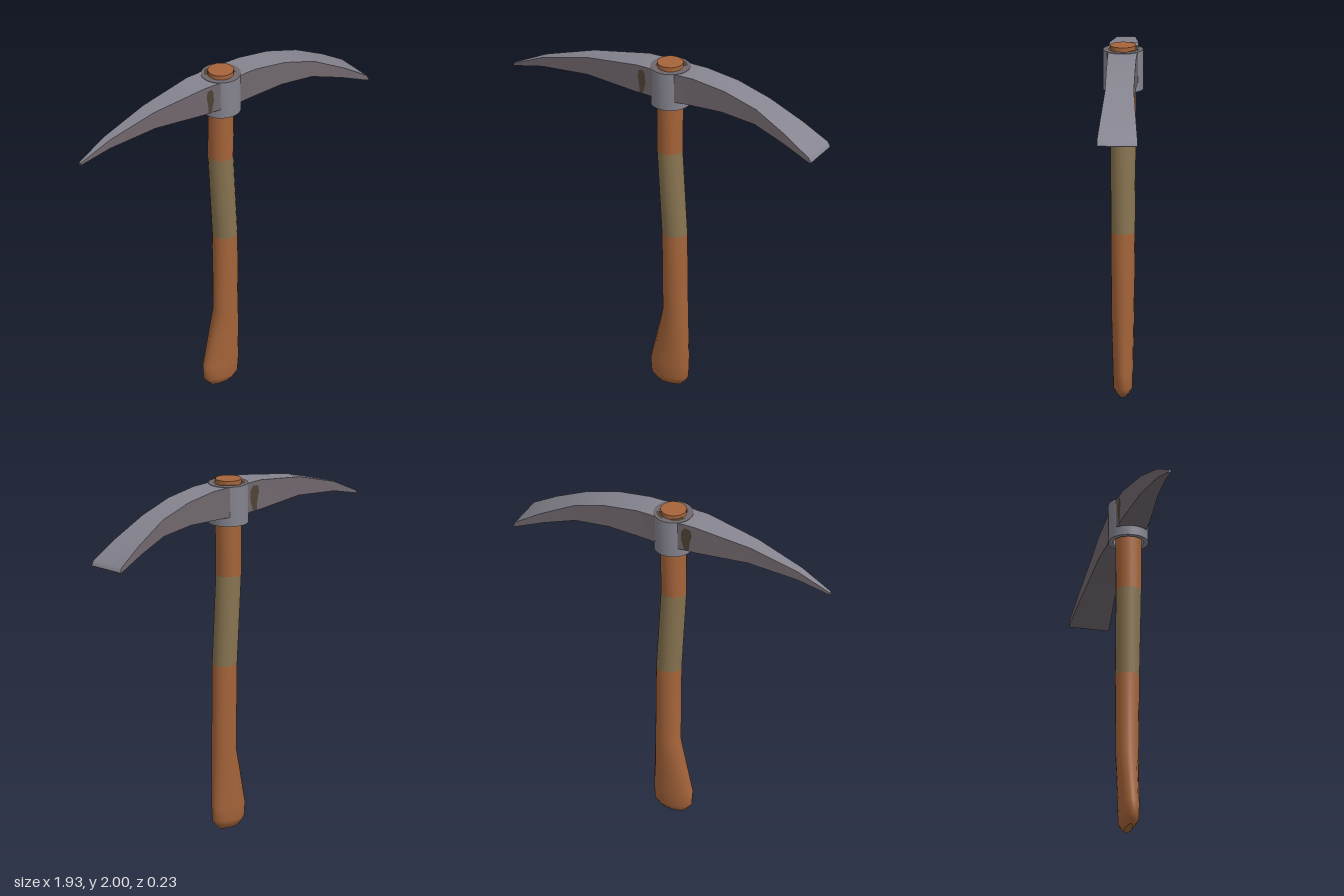
import * as THREE from 'three';
import { toCreasedNormals } from 'three/addons/utils/BufferGeometryUtils.js';

const paint = (name, color, side = THREE.FrontSide) => {
  const m = new THREE.MeshStandardMaterial({ color, side });
  m.name = name;
  return m;
};

function geometry(positions, indices) {
  const g = new THREE.BufferGeometry();
  g.setAttribute('position', new THREE.Float32BufferAttribute(positions.flat(), 3));
  g.setIndex(indices);
  g.computeVertexNormals();
  return g;
}

// Surface between two matching edges
function strip(a, b) {
  const pos = [], idx = [];
  a.forEach((p, i) => {
    pos.push(p, b[i]);
    if (i) {
      const k = 2 * i - 2;
      idx.push(k, k + 2, k + 1, k + 2, k + 3, k + 1);
    }
  });
  return geometry(pos, idx);
}

// Elliptical tube through sections [y, xLeft, xRight, halfDepth]
function loft(sections, sides = 20) {
  const pos = [], idx = [];
  sections.forEach(([y, x0, x1, rz], j) => {
    for (let i = 0; i < sides; i++) {
      const t = (i / sides) * Math.PI * 2;
      pos.push([(x0 + x1) / 2 + ((x1 - x0) / 2) * Math.sin(t), y, rz * Math.cos(t)]);
      if (j) {
        const n = (i + 1) % sides, lo = (j - 1) * sides, hi = j * sides;
        idx.push(lo + i, lo + n, hi + i, lo + n, hi + n, hi + i);
      }
    }
  });
  return geometry(pos, idx);
}

// Flat elliptical end of the handle
function endCap([y, x0, x1, rz], up) {
  const g = new THREE.CircleGeometry(1, 20);
  g.rotateX(up ? -Math.PI / 2 : Math.PI / 2);
  g.scale((x1 - x0) / 2, 1, rz);
  g.translate((x0 + x1) / 2, y, 0);
  return g;
}

export function createModel() {
  const model = new THREE.Group();
  const wood = paint('wood', 0xa5643a);
  const wrapCloth = paint('wrap', 0x877350);
  const steel = paint('steel', 0x85848f, THREE.DoubleSide);
  const darkSteel = paint('dark steel', 0x70676d, THREE.DoubleSide);
  const rust = paint('rust', 0x4e4336, THREE.DoubleSide);
  const add = (name, geo, mat, parent = model) => {
    const m = new THREE.Mesh(geo, mat);
    m.name = name;
    parent.add(m);
    return m;
  };

  // Handle: swelling grip, wrapped middle, straight top
  const grip = [
    [0, -0.05, 0.08, 0.02], [0.02, -0.07, 0.1, 0.038], [0.05, -0.098, 0.125, 0.055],
    [0.13, -0.105, 0.132, 0.056], [0.46, -0.026, 0.121, 0.064], [0.94, -0.03, 0.115, 0.068],
  ];
  const wrap = [[0.94, -0.03, 0.115, 0.068], [1.45, -0.06, 0.085, 0.071]];
  const top = [[1.45, -0.06, 0.085, 0.071], [1.7, -0.06, 0.088, 0.073], [2, -0.06, 0.088, 0.073]];
  add('handleGrip', loft(grip), wood);
  add('handleWrap', loft(wrap), wrapCloth);
  add('handleTop', loft(top), wood);
  add('handleBottomEnd', endCap(grip[0], false), wood);
  add('handleTopEnd', endCap(top[2], true), wood);

  // Head: [x top, y top, x bottom, y bottom, half depth] from point to blade
  const sections = [
    [-0.97, 1.75, -0.97, 1.735, 0.008], [-0.78, 1.84, -0.78, 1.785, 0.025],
    [-0.49, 1.925, -0.48, 1.82, 0.05], [-0.16, 1.974, -0.16, 1.806, 0.08],
    [-0.09, 1.974, -0.09, 1.804, 0.081], [0.015, 1.974, 0.015, 1.803, 0.097],
    [0.12, 1.974, 0.12, 1.803, 0.081], [0.2, 1.974, 0.2, 1.806, 0.08],
    [0.4, 1.945, 0.38, 1.812, 0.08], [0.6, 1.882, 0.59, 1.787, 0.08],
    [0.8, 1.776, 0.78, 1.722, 0.098], [0.95, 1.68, 0.94, 1.655, 0.113],
    [0.963, 1.652, 0.958, 1.648, 0.113],
  ];
  const head = new THREE.Group();
  head.name = 'head';
  model.add(head);
  const edge = (isTop, s) => sections.map(([xt, yt, xb, yb, hz]) =>
    isTop ? [xt, yt, s * hz] : [xb, yb, s * hz]);
  const topFront = edge(true, 1), topBack = edge(true, -1);
  const lowBack = edge(false, -1), lowFront = edge(false, 1);
  add('headTop', strip(topFront, topBack), steel, head);
  add('headBack', strip(topBack, lowBack), darkSteel, head);
  add('headUnderside', strip(lowBack, lowFront), darkSteel, head);
  add('headFront', strip(lowFront, topFront), darkSteel, head);
  const e = sections.length - 1;
  add('bladeEdge', strip([lowFront[e], lowBack[e]], [topFront[e], topBack[e]]), steel, head);
  add('pointEnd', strip([lowBack[0], lowFront[0]], [topBack[0], topFront[0]]), steel, head);

  // Collar around the handle
  const lathe = (points) => {
    const g = new THREE.LatheGeometry(points.map(([r, y]) => new THREE.Vector2(r, y)), 24);
    return toCreasedNormals(g, 0.6).translate(0.015, 0, 0);
  };
  add('collar', lathe([[0.08, 1.85], [0.086, 1.75], [0.112, 1.75], [0.112, 1.977]]), steel, head);
  add('collarRim', lathe([[0.112, 1.977], [0.08, 1.977], [0.076, 1.95]]), darkSteel, head);

  // Rust stains on the rim and beside the collar
  [[0.4, 0.9], [1.9, 0.9]].forEach(([start, length]) => {
    const g = new THREE.RingGeometry(0.074, 0.095, 12, 1, start, length);
    add('rimRust', g.rotateX(-Math.PI / 2).translate(0.015, 1.979, 0), rust, head);
  });
  const stain = new THREE.Shape();
  [[-0.012, -0.075], [0.01, -0.07], [0.024, -0.01], [0.022, 0.045], [0.008, 0.072],
    [-0.02, 0.066], [-0.026, 0.03], [-0.016, -0.02]].forEach(([x, y], i) =>
    i ? stain.lineTo(x, y) : stain.moveTo(x, y));
  [[1, -0.122, 1], [-1, -0.108, 1.35]].forEach(([side, x, wide]) => {
    const m = add(side > 0 ? 'frontRust' : 'backRust', new THREE.ShapeGeometry(stain), rust, head);
    m.position.set(x, 1.882, side * 0.0835);
    m.scale.x = wide;
  });
  return model;
}
